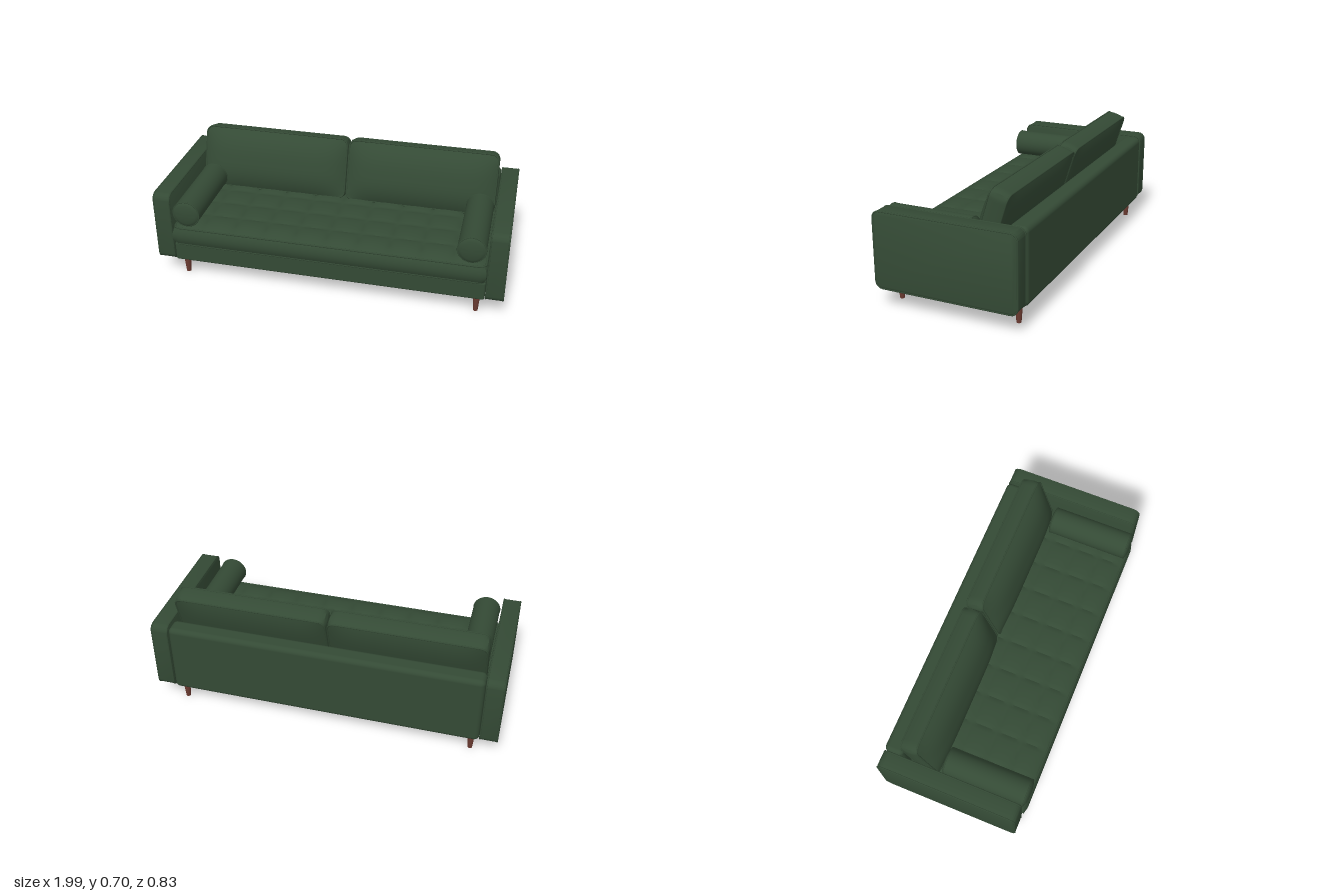
import * as THREE from 'three';
import { toCreasedNormals } from 'three/addons/utils/BufferGeometryUtils.js';
import { RoundedBoxGeometry } from 'three/addons/geometries/RoundedBoxGeometry.js';

const green = new THREE.MeshStandardMaterial({ color: 0x344a35 });
green.name = 'green upholstery';
const wood = new THREE.MeshStandardMaterial({ color: 0x6b3a30 });
wood.name = 'red brown wood';

function add(parent, name, geometry, material, x = 0, y = 0, z = 0) {
  const mesh = new THREE.Mesh(geometry, material);
  mesh.name = name;
  mesh.position.set(x, y, z);
  parent.add(mesh);
  return mesh;
}

function roundedRect(w, h, r) {
  const s = new THREE.Shape(), a = w / 2, b = h / 2;
  s.moveTo(-a + r, -b);
  s.lineTo(a - r, -b).absarc(a - r, -b + r, r, -Math.PI / 2, 0);
  s.lineTo(a, b - r).absarc(a - r, b - r, r, 0, Math.PI / 2);
  s.lineTo(-a + r, b).absarc(-a + r, b - r, r, Math.PI / 2, Math.PI);
  s.lineTo(-a, -b + r).absarc(-a + r, -b + r, r, Math.PI, Math.PI * 1.5);
  return s;
}

// Welt cord following a rounded rectangle
function piping(w, h, r, cord) {
  const pts = roundedRect(w, h, r).getPoints(8).map(p => new THREE.Vector3(p.x, p.y, 0));
  const path = new THREE.CurvePath();
  for (let i = 0; i < pts.length; i++) {
    const next = pts[(i + 1) % pts.length];
    if (pts[i].distanceTo(next) > 1e-5) path.add(new THREE.LineCurve3(pts[i], next));
  }
  return new THREE.TubeGeometry(path, 200, cord, 6, true);
}

// Slab in the xy plane with rounded corners; front and back faces swell by rule
function cushion(w, h, d, r, segs, front, back, side) {
  const geo = new THREE.BoxGeometry(w, h, d, ...segs);
  const p = geo.attributes.position;
  for (let i = 0; i < p.count; i++) {
    let x = p.getX(i), y = p.getY(i), z = p.getZ(i);
    const u = x / w * 2, v = y / h * 2, t = z / d * 2;
    const ix = THREE.MathUtils.clamp(x, r - w / 2, w / 2 - r);
    const iy = THREE.MathUtils.clamp(y, r - h / 2, h / 2 - r);
    const dx = x - ix, dy = y - iy, len = Math.hypot(dx, dy);
    if (len > 0) {
      const k = Math.max(Math.abs(dx), Math.abs(dy)) / len;
      x = ix + dx * k;
      y = iy + dy * k;
    }
    if (t > 0.999) z += front(u, v);
    else if (t < -0.999) z -= back(u, v);
    else {
      const s = side * (1 - t * t);
      if (Math.abs(u) > 0.999) x += Math.sign(u) * s;
      if (Math.abs(v) > 0.999) y += Math.sign(v) * s;
    }
    p.setXYZ(i, x, y, z);
  }
  return toCreasedNormals(geo, 0.7);
}

export function createModel() {
  const sofa = new THREE.Group();
  sofa.name = 'sofa';

  // Frame
  add(sofa, 'base', new RoundedBoxGeometry(1.78, 0.115, 0.78, 3, 0.012), green, 0, 0.1675, -0.002);
  add(sofa, 'backrest', new RoundedBoxGeometry(1.78, 0.42, 0.108, 5, 0.028), green, 0, 0.317, -0.361);

  // Arms with welted outlines
  const armGeo = toCreasedNormals(new THREE.ExtrudeGeometry(roundedRect(0.784, 0.404, 0.032), {
    depth: 0.076, bevelEnabled: true, bevelThickness: 0.013, bevelSize: 0.011, bevelSegments: 4, curveSegments: 10,
  }), 0.7).translate(0, 0, -0.038);
  const armCord = piping(0.8, 0.42, 0.038, 0.005);
  for (const s of [1, -1]) {
    const arm = new THREE.Group();
    arm.name = s > 0 ? 'leftArm' : 'rightArm';
    arm.position.set(s * 0.943, 0.32, -0.01);
    arm.rotation.y = Math.PI / 2;
    add(arm, 'armBody', armGeo, green);
    for (const e of [1, -1]) add(arm, 'armPiping', armCord, green, 0, 0, e * 0.046);
    sofa.add(arm);
  }

  // Tufted seat cushion, with its local z turned upward
  const seatW = 1.765, seatD = 0.68;
  const puff = t => Math.pow(Math.abs(Math.sin(Math.PI * t)), 0.45);
  const tufts = (u, v) => {
    const edge = (1 - Math.abs(u) ** 16) * (1 - Math.abs(v) ** 10);
    const columns = puff((u + 1) * 5), rows = puff((v + 1) * seatD / 2 / 0.152);
    return edge * (0.012 + 0.013 * columns * rows);
  };
  const seat = new THREE.Group();
  seat.name = 'seatCushion';
  seat.position.set(0, 0.281, 0.058);
  seat.rotation.x = -Math.PI / 2;
  add(seat, 'seatPad', cushion(seatW, seatD, 0.108, 0.03, [120, 54, 6], tufts, () => 0, 0.016), green);
  for (const e of [1, -1]) add(seat, 'seatPiping', piping(seatW, seatD, 0.03, 0.006), green, 0, 0, e * 0.052);
  sofa.add(seat);

  // Leaning back cushions
  const cw = 0.868, ch = 0.355, cd = 0.098;
  const swell = amount => (u, v) => amount * (1 - u ** 6) * (1 - Math.abs(v) ** 2.6);
  const backGeo = cushion(cw, ch, cd, 0.04, [48, 28, 6], swell(0.056), swell(0.025), 0.006);
  const backCord = piping(cw, ch, 0.04, 0.005);
  for (const s of [1, -1]) {
    const back = new THREE.Group();
    back.name = s > 0 ? 'leftBackCushion' : 'rightBackCushion';
    back.position.set(s * 0.441, 0.508, -0.209);
    back.rotation.x = -0.3;
    add(back, 'backPad', backGeo, green);
    for (const e of [1, -1]) add(back, 'backPiping', backCord, green, 0, 0, e * cd / 2);
    sofa.add(back);
  }

  // Bolsters: cylinders with softly domed, welted ends
  const half = 0.24, R = 0.078;
  const dome = [[0, 0.013], [0.03, 0.011], [0.055, 0.007], [0.07, 0.002], [R, -0.006]];
  const profile = [
    ...dome.map(([r, h]) => new THREE.Vector2(r, -half - h)),
    ...dome.slice().reverse().map(([r, h]) => new THREE.Vector2(r, half + h)),
  ];
  const bolsterGeo = toCreasedNormals(new THREE.LatheGeometry(profile, 40), 0.7).rotateX(Math.PI / 2);
  const bolsterCord = new THREE.TorusGeometry(R - 0.002, 0.004, 6, 40);
  for (const s of [1, -1]) {
    const bolster = new THREE.Group();
    bolster.name = s > 0 ? 'leftBolster' : 'rightBolster';
    bolster.position.set(s * 0.8, 0.428, 0.157);
    add(bolster, 'bolsterBody', bolsterGeo, green);
    for (const e of [1, -1]) add(bolster, 'bolsterPiping', bolsterCord, green, 0, 0, e * (half - 0.005));
    sofa.add(bolster);
  }

  // Tapered legs
  const legGeo = new THREE.CylinderGeometry(0.021, 0.013, 0.112, 20);
  for (const x of [0.845, -0.845])
    for (const z of [0.33, -0.35])
      add(sofa, z > 0 ? 'frontLeg' : 'backLeg', legGeo, wood, x, 0.056, z);

  return sofa;
}
